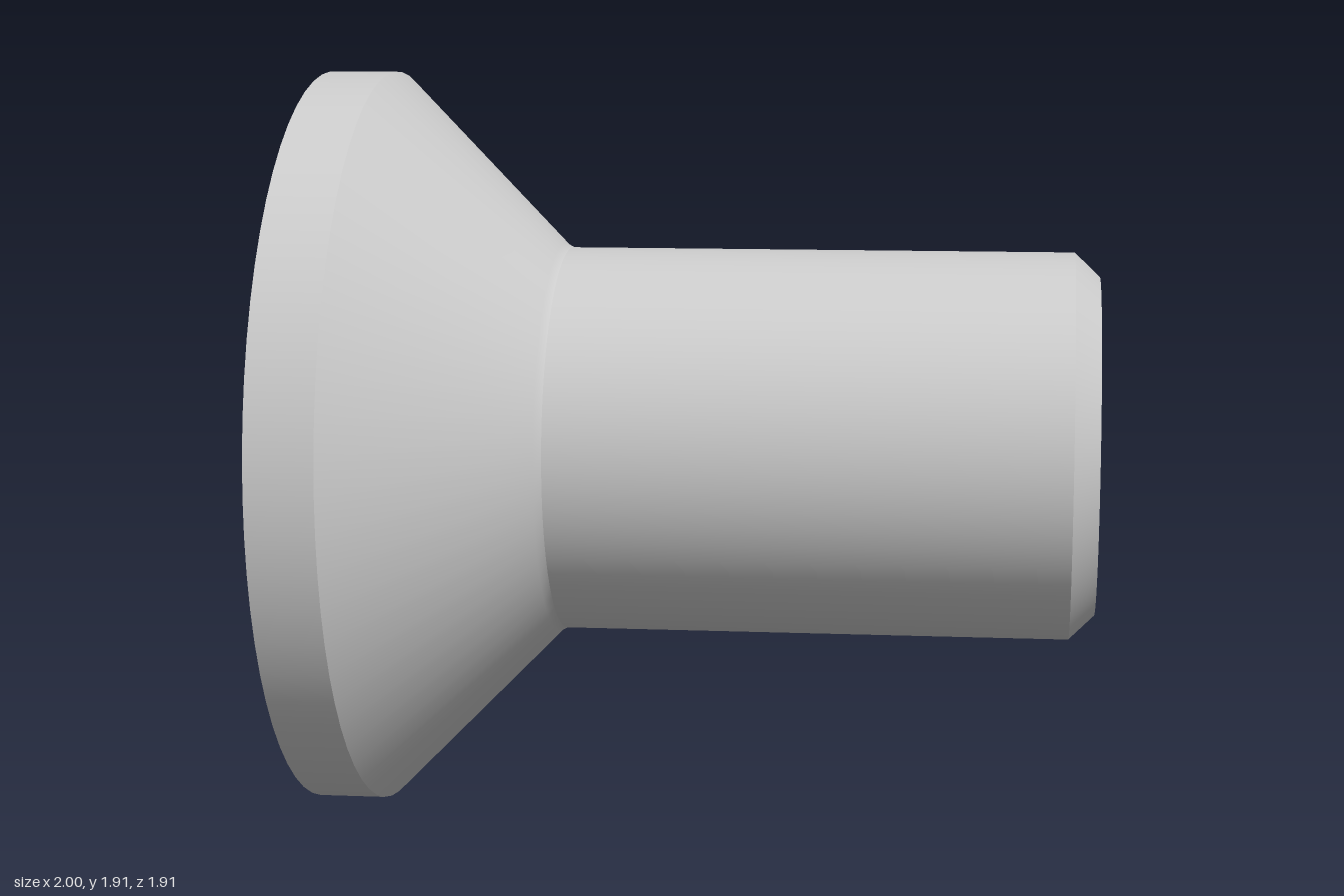
import * as THREE from 'three';

const R = 0.955;          // head radius, also height of the axis
const SHAFT = 0.5;        // shaft radius
const HEX = 0.363;        // socket corner radius
const DEPTH = 0.42;       // socket depth
const SEGMENTS = 64;

export function createModel() {
  const group = new THREE.Group();
  const material = new THREE.MeshStandardMaterial({ color: 0xcccccc });
  const socketMaterial = new THREE.MeshStandardMaterial({
    color: 0xcccccc, flatShading: true, side: THREE.BackSide,
  });

  function add(name, geometry, mat = material) {
    const mesh = new THREE.Mesh(geometry, mat);
    mesh.name = name;
    mesh.position.y = R;
    group.add(mesh);
  }

  // Surface of revolution about the x axis from [x, radius] pairs
  function turned(name, profile) {
    const points = profile.map(([x, r]) => new THREE.Vector2(r, x));
    add(name, new THREE.LatheGeometry(points, SEGMENTS).rotateZ(-Math.PI / 2));
  }

  // Separate bands keep the edges between them sharp
  turned('headRim', [[-1, R], [-0.83, R]]);
  turned('countersink', [[-0.83, R], [-0.39, 0.51], [-0.37, SHAFT]]);
  turned('shaft', [[-0.37, SHAFT], [0.935, SHAFT]]);
  turned('tipChamfer', [[0.935, SHAFT], [1, 0.437]]);
  turned('tipFace', [[1, 0.437], [1, 0]]);

  // Flat head face with a hexagonal opening
  const face = new THREE.Shape().absarc(0, 0, R, 0, Math.PI * 2);
  const corners = Array.from({ length: 6 }, (_, i) => {
    const a = Math.PI / 2 - i * Math.PI / 3;
    return new THREE.Vector2(HEX * Math.cos(a), HEX * Math.sin(a));
  });
  face.holes.push(new THREE.Path(corners));
  add('headFace', new THREE.ShapeGeometry(face, SEGMENTS)
    .rotateY(-Math.PI / 2).translate(-1, 0, 0));

  // Hex socket walls and floor
  add('socketWalls', new THREE.CylinderGeometry(HEX, HEX, DEPTH, 6, 1, true, Math.PI / 6)
    .rotateZ(Math.PI / 2).translate(-1 + DEPTH / 2, 0, 0), socketMaterial);
  add('socketFloor', new THREE.CircleGeometry(HEX, 6, Math.PI / 2)
    .rotateY(-Math.PI / 2).translate(-1 + DEPTH, 0, 0));

  return group;
}
